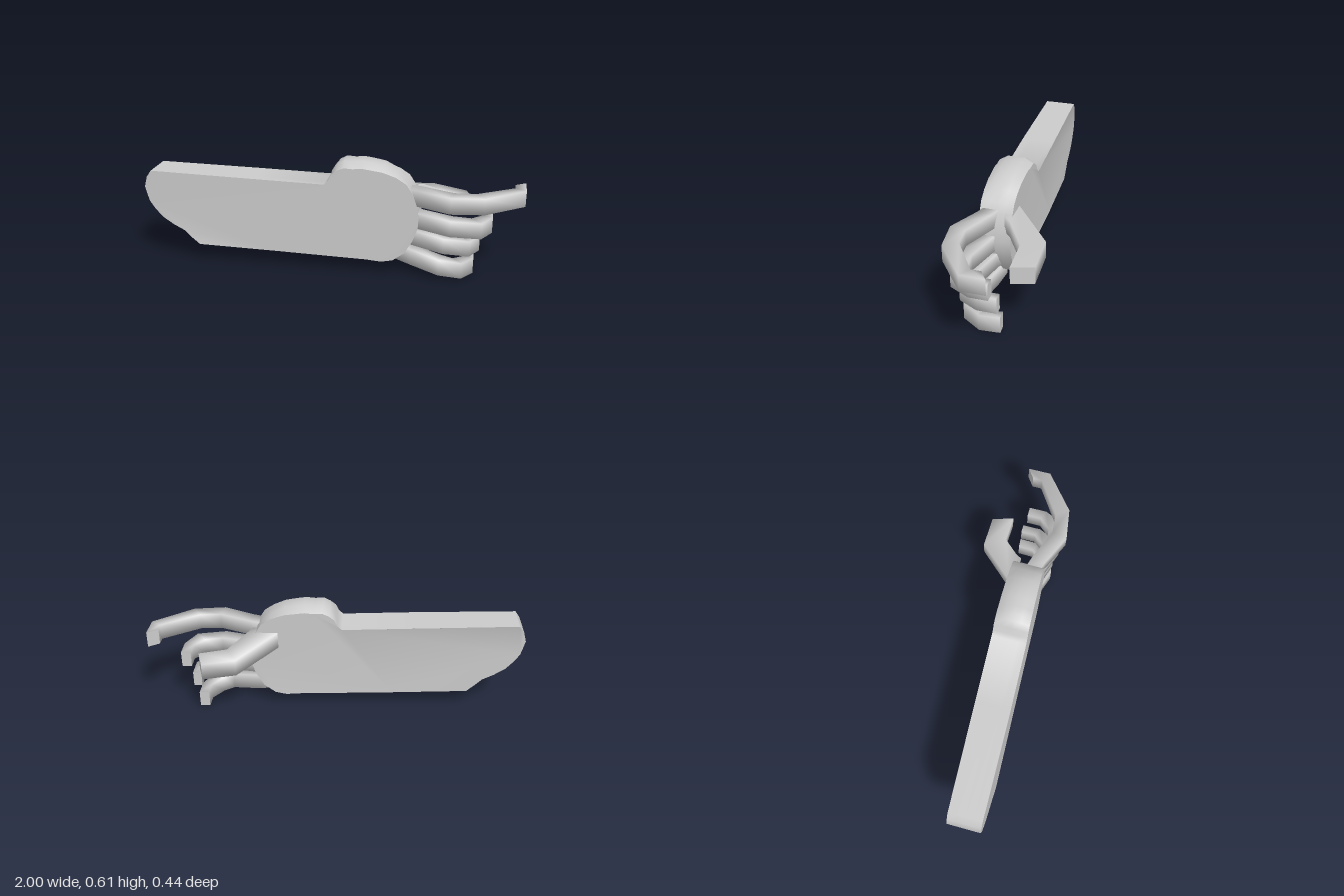
import * as THREE from 'three';
import { mergeVertices, toCreasedNormals } from 'three/addons/utils/BufferGeometryUtils.js';

const material = new THREE.MeshStandardMaterial({ color: 0xcccccc });

// Forearm and palm share one outline, extruded and then tapered in depth.
function forearmAndPalm() {
  const arm = [[-0.98, 0.34], [-0.95, 0.295], [-0.91, 0.25], [-0.85, 0.21], [-0.79, 0.18], [-0.75, 0.14], [-0.71, 0.105], [-0.3, 0.095], [0.2, 0.08]];
  const hand = [[0.28, 0.073], [0.34, 0.085], [0.4, 0.13], [0.44, 0.2], [0.465, 0.27], [0.468, 0.33], [0.455, 0.4], [0.43, 0.465], [0.4, 0.51], [0.35, 0.555], [0.28, 0.592], [0.22, 0.603], [0.17, 0.61], [0.12, 0.605], [0.075, 0.608], [0.04, 0.59], [0.012, 0.555], [-0.002, 0.51], [-0.025, 0.487]];
  const top = [[-0.4, 0.497], [-0.96, 0.51], [-0.985, 0.475], [-1, 0.42]];
  const shape = new THREE.Shape([...arm, ...hand, ...top].map(p => new THREE.Vector2(...p)));
  let geo = new THREE.ExtrudeGeometry(shape, { depth: 1, steps: 4, bevelEnabled: false });
  const pos = geo.attributes.position;
  const { lerp, clamp } = THREE.MathUtils;
  for (let i = 0; i < pos.count; i++) {
    let x = pos.getX(i), y = pos.getY(i), t = pos.getZ(i);
    const back = lerp(0.015, -0.025, clamp(x + 1, 0, 0.95) / 0.95);
    const front = lerp(0.187, 0.143, clamp(x + 0.75, 0, 1.2) / 1.2);
    // Soft chamfer around the raised thumb side of the palm
    if (y > 0.52 && (t < 0.01 || t > 0.99)) {
      const k = clamp((y - 0.52) / 0.08, 0, 1) * 0.027;
      y -= k;
      x += (0.2 - x) * k;
    }
    pos.setXYZ(i, x, y, lerp(back, front, t));
  }
  geo.deleteAttribute('uv');
  geo.deleteAttribute('normal');
  geo = toCreasedNormals(mergeVertices(geo), 0.85);
  return geo;
}

// Sections are [x, z] of the front side, [x, z] of the back side, centre y.
function fingerGeometry(sections, height) {
  const verts = [], index = [];
  for (const [fx, fz, bx, bz, y] of sections) {
    const t = y + height / 2, b = y - height / 2;
    verts.push(fx, t, fz, fx, b, fz, bx, b, bz, bx, t, bz);
  }
  for (let s = 0; s < sections.length - 1; s++) {
    for (let j = 0; j < 4; j++) {
      const a = s * 4 + j, b = s * 4 + (j + 1) % 4;
      index.push(a, b, b + 4, a, b + 4, a + 4);
    }
  }
  // Flat tip with its own corners, so that its edge stays sharp
  const n = sections.length * 4;
  verts.push(...verts.slice(-12));
  index.push(n, n + 1, n + 2, n, n + 2, n + 3);
  const geo = new THREE.BufferGeometry();
  geo.setAttribute('position', new THREE.Float32BufferAttribute(verts, 3));
  geo.setIndex(index);
  geo.computeVertexNormals();
  return geo;
}

const fingers = {
  indexFinger: [0.085, [
    [0.42, 0.13, 0.42, 0.05, 0.437], [0.46, 0.142, 0.47, 0.065, 0.437], [0.63, 0.218, 0.645, 0.135, 0.437],
    [0.8, 0.193, 0.755, 0.125, 0.437], [1, 0.035, 0.945, 0.0, 0.437], [1, -0.088, 0.945, -0.05, 0.437]]],
  middleFinger: [0.085, [
    [0.42, 0.12, 0.42, 0.04, 0.313], [0.46, 0.13, 0.47, 0.06, 0.311], [0.63, 0.187, 0.64, 0.11, 0.302],
    [0.79, 0.165, 0.735, 0.1, 0.294], [0.842, 0.06, 0.79, 0.04, 0.291], [0.842, -0.037, 0.79, -0.037, 0.291]]],
  ringFinger: [0.083, [
    [0.4, 0.105, 0.4, 0.03, 0.213], [0.45, 0.12, 0.46, 0.05, 0.209], [0.6, 0.166, 0.61, 0.095, 0.195],
    [0.735, 0.145, 0.685, 0.085, 0.183], [0.783, 0.045, 0.738, 0.025, 0.179], [0.783, -0.057, 0.738, -0.057, 0.179]]],
  littleFinger: [0.087, [
    [0.34, 0.1, 0.36, 0.03, 0.122], [0.43, 0.12, 0.44, 0.05, 0.1], [0.58, 0.166, 0.59, 0.095, 0.073],
    [0.7, 0.142, 0.65, 0.085, 0.054], [0.757, 0.045, 0.705, 0.025, 0.046], [0.757, -0.063, 0.705, -0.06, 0.052]]],
  thumb: [0.09, [
    [0.45, 0.01, 0.28, 0.01, 0.425], [0.475, -0.025, 0.315, -0.025, 0.415],
    [0.575, -0.108, 0.515, -0.218, 0.357], [0.73, -0.106, 0.695, -0.218, 0.326]]],
};

export function createModel() {
  const group = new THREE.Group();
  const add = (name, geo) => {
    const mesh = new THREE.Mesh(geo, material);
    mesh.name = name;
    group.add(mesh);
  };
  add('forearmAndPalm', forearmAndPalm());
  for (const [name, [height, sections]] of Object.entries(fingers)) add(name, fingerGeometry(sections, height));
  return group;
}
